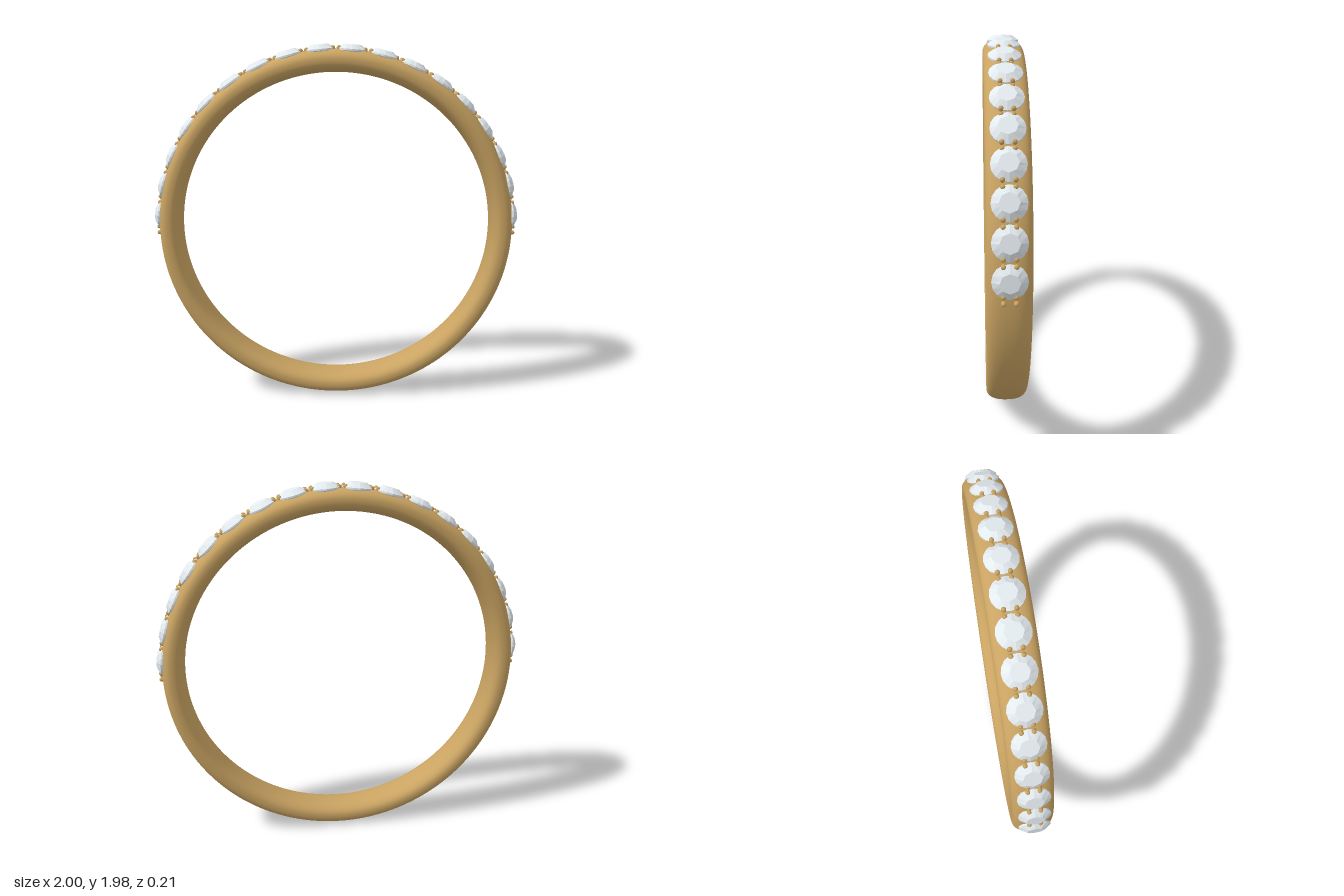
import * as THREE from 'three';

const CENTRE_Y = 0.98;
const STONES = 18;
const STEP = Math.PI / STONES;

// Rounded band section, swept round the ring axis
function bandGeometry() {
  const points = [];
  const squash = (v, p) => Math.sign(v) * Math.abs(v) ** p;
  for (let i = 0; i <= 48; i++) {
    const t = Math.PI + (i / 48) * Math.PI * 2;
    points.push(new THREE.Vector2(0.915 + 0.06 * squash(Math.cos(t), 0.85), 0.104 * squash(Math.sin(t), 0.8)));
  }
  return new THREE.LatheGeometry(points, 160).rotateX(Math.PI / 2);
}

// Brilliant cut: pointed pavilion, thin girdle, crown and eight-sided table
function stoneGeometry() {
  const profile = [[0, -0.05], [0.081, -0.006], [0.081, 0.003], [0.046, 0.027], [0, 0.027]]
    .map(([x, y]) => new THREE.Vector2(x, y));
  const geo = new THREE.LatheGeometry(profile, 16);
  const pos = geo.attributes.position;
  const perRing = profile.length;
  for (let i = 0; i < pos.count; i++) {
    // Odd table corners move in onto the edges of an octagon
    if (i % perRing === 3 && Math.floor(i / perRing) % 2 === 1) {
      const k = Math.cos(Math.PI / 8);
      pos.setXYZ(i, pos.getX(i) * k, pos.getY(i), pos.getZ(i) * k);
    }
  }
  return geo;
}

// Group whose local +y points outward from the ring at the given angle
function seat(name, angle, radius) {
  const group = new THREE.Group();
  group.name = name;
  group.position.set(Math.cos(angle) * radius, CENTRE_Y + Math.sin(angle) * radius, 0);
  group.rotation.z = angle - Math.PI / 2;
  return group;
}

export function createModel() {
  const model = new THREE.Group();
  model.name = 'ring';
  const gold = new THREE.MeshStandardMaterial({ color: 0xc9a362 });
  const gem = new THREE.MeshStandardMaterial({ color: 0xe3eaee, flatShading: true });

  const band = new THREE.Mesh(bandGeometry(), gold);
  band.name = 'band';
  band.position.y = CENTRE_Y;
  model.add(band);

  // Stones over the upper half
  const stoneGeo = stoneGeometry();
  for (let i = 0; i < STONES; i++) {
    const holder = seat('stoneSetting', (i + 0.5) * STEP, 0.973);
    const stone = new THREE.Mesh(stoneGeo, gem);
    stone.name = 'stone';
    holder.add(stone);
    model.add(holder);
  }

  // Four rounded prongs at every joint and at both ends of the row
  const prongGeo = new THREE.CapsuleGeometry(0.012, 0.03, 5, 10);
  for (let i = 0; i <= STONES; i++) {
    const joint = seat('prongCluster', i * STEP, 0.965);
    for (const sx of [-1, 1]) {
      for (const sz of [-1, 1]) {
        const prong = new THREE.Mesh(prongGeo, gold);
        prong.name = 'prong';
        prong.position.set(sx * 0.013, 0, sz * 0.028);
        prong.rotation.z = -sx * 0.25;
        joint.add(prong);
      }
    }
    model.add(joint);
  }
  return model;
}
